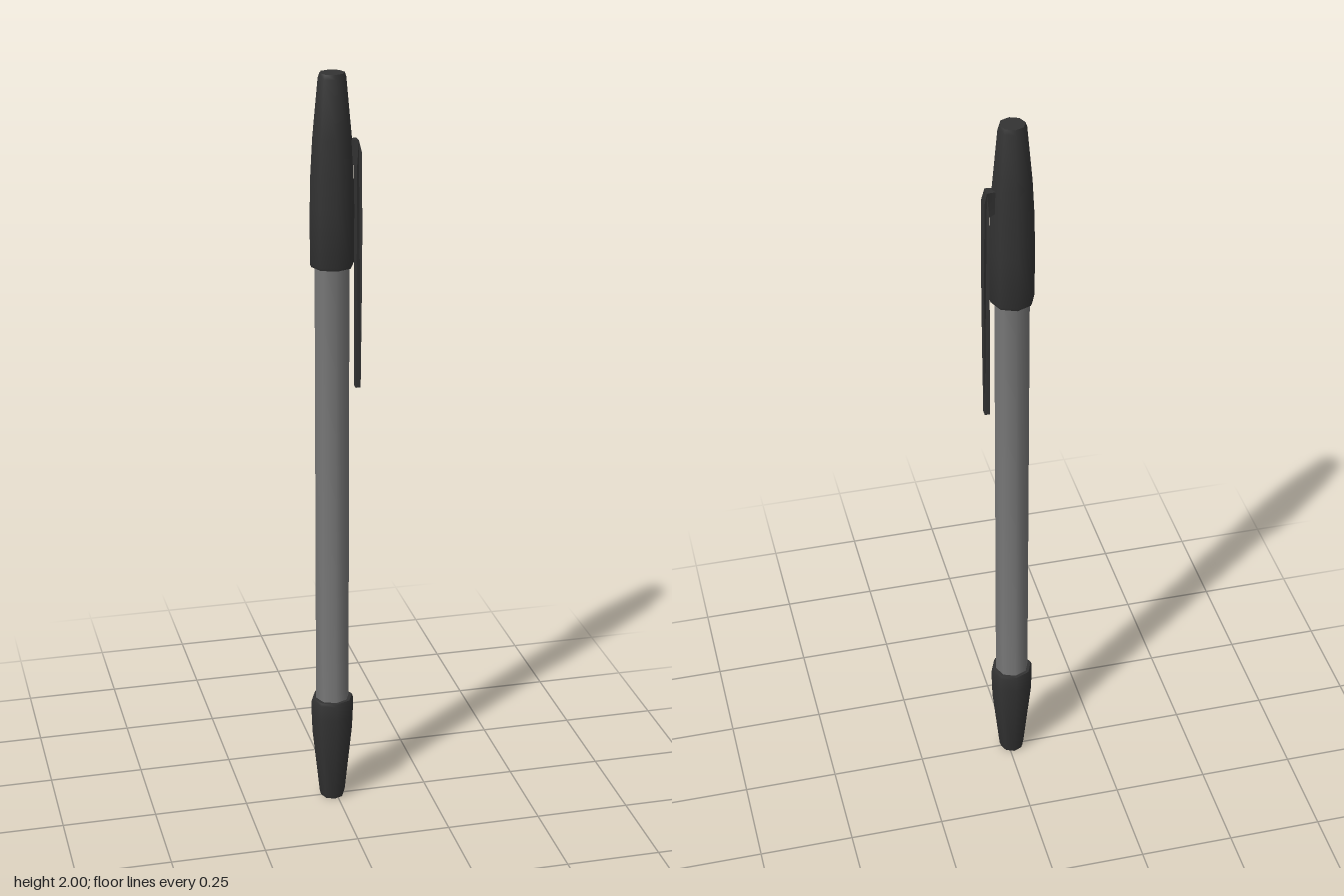
import * as THREE from 'three';
import { toCreasedNormals } from 'three/addons/utils/BufferGeometryUtils.js';

const AXIS_X = -0.01; // the barrel sits slightly off centre, balancing the clip
const dark = new THREE.MeshStandardMaterial({ color: 0x333333 });
const grey = new THREE.MeshStandardMaterial({ color: 0x777777 });

// Eight-sided turned part from [radius, height] pairs, bottom to top
function turned(name, profile, material) {
  const points = profile.map(([r, y]) => new THREE.Vector2(r, y));
  const geometry = toCreasedNormals(new THREE.LatheGeometry(points, 8), 0.9);
  const mesh = new THREE.Mesh(geometry, material);
  mesh.name = name;
  mesh.position.x = AXIS_X;
  return mesh;
}

// Hooked clip: side outline extruded across z, then tapered towards its lower end
function pocketClip() {
  const outline = new THREE.Shape([
    [0.025, 1.775], [0.051, 1.765], [0.051, 1.6], [0.051, 1.4], [0.051, 1.18],
    [0.064, 1.18], [0.065, 1.4], [0.065, 1.6], [0.063, 1.8], [0.056, 1.83], [0.025, 1.83],
  ].map(([x, y]) => new THREE.Vector2(x, y)));
  const geometry = new THREE.ExtrudeGeometry(outline, { depth: 2, bevelEnabled: false });
  const p = geometry.attributes.position;
  for (let i = 0; i < p.count; i++) {
    const y = p.getY(i);
    const taper = THREE.MathUtils.clamp((y - 1.18) / 0.42, 0, 1);
    let half = THREE.MathUtils.lerp(0.009, 0.016, taper);
    if (y > 1.81) half = 0.013;
    if (p.getX(i) < 0.04) half = 0.01; // narrower root inside the cap
    p.setZ(i, (p.getZ(i) - 1) * half - 0.004);
  }
  const mesh = new THREE.Mesh(toCreasedNormals(geometry, 0.6), dark);
  mesh.name = 'pocketClip';
  return mesh;
}

export function createModel() {
  const pen = new THREE.Group();
  pen.name = 'pen';
  pen.add(
    turned('barrel', [[0, 0.28], [0.045, 0.28], [0.045, 1.54], [0, 1.54]], grey),
    turned('endPlug', [
      [0, 0], [0.031, 0], [0.035, 0.012], [0.055, 0.2], [0.057, 0.25],
      [0.057, 0.292], [0.054, 0.3], [0, 0.3],
    ], dark),
    turned('cap', [
      [0, 1.51], [0.054, 1.51], [0.057, 1.518], [0.057, 1.66], [0.055, 1.75],
      [0.05, 1.84], [0.036, 1.988], [0.032, 2], [0, 2],
    ], dark),
    pocketClip(),
  );
  return pen;
}
